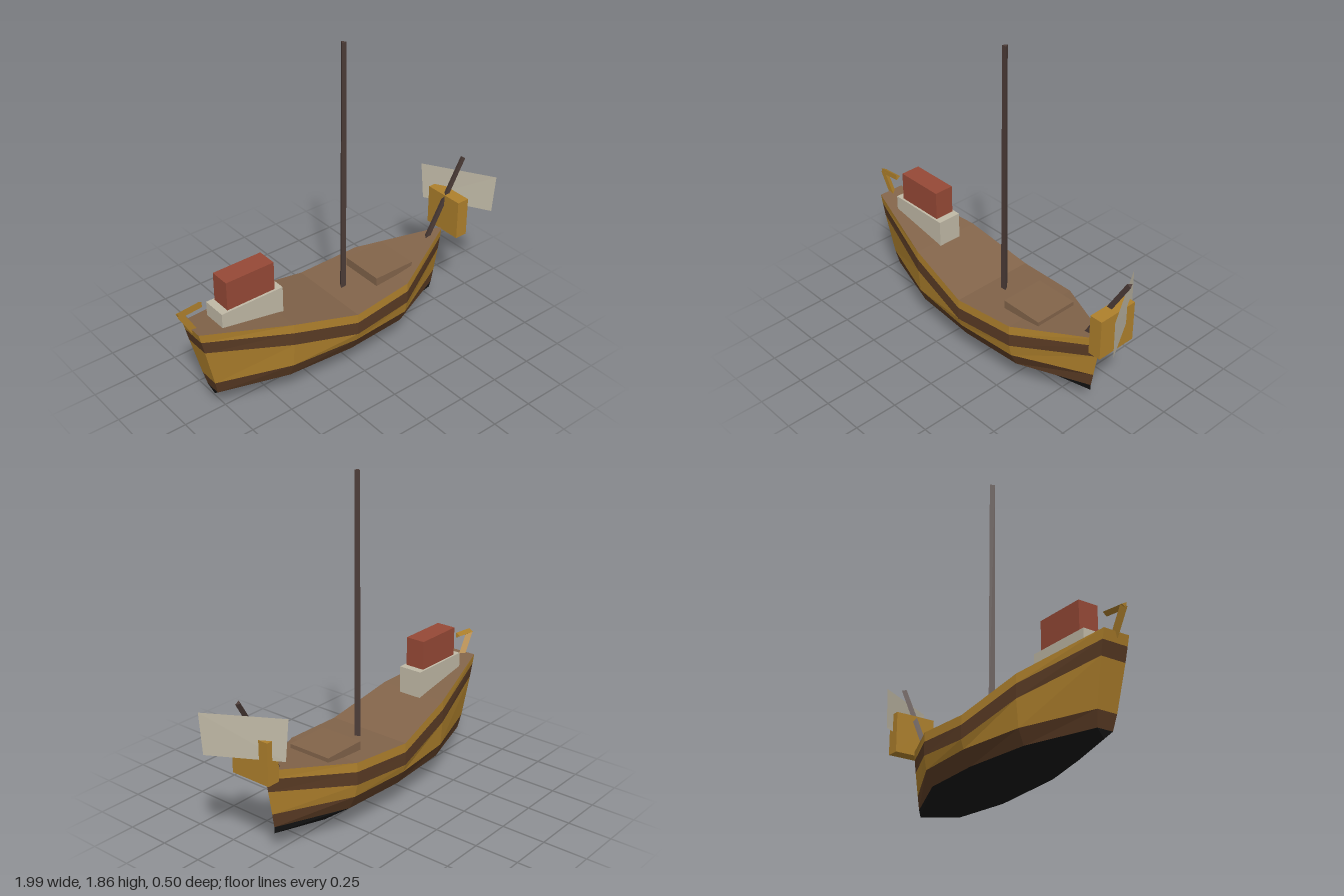
import * as THREE from 'three';

const mat = (name, color, extra = {}) => {
  const m = new THREE.MeshStandardMaterial({ color, flatShading: true, ...extra });
  m.name = name;
  return m;
};

// Hull stations from stern to bow: deck edge x, keel x, deck height, keel height, half widths per row
const stations = [
  { x: [-0.925, -0.81], top: 0.59, keel: 0.11, w: [0.075, 0.074, 0.072, 0.058, 0.045, 0] },
  { x: [-0.44, -0.44], top: 0.5, keel: 0.02, w: [0.205, 0.207, 0.207, 0.195, 0.165, 0] },
  { x: [-0.05, -0.05], top: 0.405, keel: 0, w: [0.248, 0.25, 0.25, 0.235, 0.195, 0] },
  { x: [0.32, 0.32], top: 0.43, keel: 0.02, w: [0.225, 0.227, 0.226, 0.21, 0.172, 0] },
  { x: [0.77, 0.7], top: 0.495, keel: 0.11, w: [0.008, 0.01, 0.01, 0.008, 0.006, 0] },
];

// Point on the hull at a station and row (row 0 is the deck edge, row 5 the keel)
function hullPoint(s, row, side) {
  const { x, top, keel, w } = stations[s];
  const y = [top, top - 0.052, top - 0.127, 0.23, 0.15, keel][row];
  const t = (y - keel) / (top - keel);
  return [x[1] + (x[0] - x[1]) * t, y, side * w[row]];
}

function quadMesh(name, quads, material) {
  const pos = [];
  for (const [a, b, c, d] of quads) pos.push(...a, ...b, ...c, ...a, ...c, ...d);
  const g = new THREE.BufferGeometry();
  g.setAttribute('position', new THREE.Float32BufferAttribute(pos, 3));
  g.computeVertexNormals();
  const m = new THREE.Mesh(g, material);
  m.name = name;
  return m;
}

// One coloured band: both sides plus its strip of the transom
function hullBand(name, r, material) {
  const quads = [];
  for (let s = 0; s < stations.length - 1; s++) {
    const left = [hullPoint(s, r + 1, 1), hullPoint(s + 1, r + 1, 1), hullPoint(s + 1, r, 1), hullPoint(s, r, 1)];
    const right = [hullPoint(s, r, -1), hullPoint(s + 1, r, -1), hullPoint(s + 1, r + 1, -1), hullPoint(s, r + 1, -1)];
    quads.push(left, right);
  }
  quads.push([hullPoint(0, r + 1, -1), hullPoint(0, r + 1, 1), hullPoint(0, r, 1), hullPoint(0, r, -1)]);
  return quadMesh(name, quads, material);
}

function box(name, [x0, x1], [y0, y1], [z0, z1], material) {
  const m = new THREE.Mesh(new THREE.BoxGeometry(x1 - x0, y1 - y0, z1 - z0), material);
  m.position.set((x0 + x1) / 2, (y0 + y1) / 2, (z0 + z1) / 2);
  m.name = name;
  return m;
}

// Three-sided spar between two points
function spar(name, from, to, r0, r1, material) {
  const a = new THREE.Vector3(...from), b = new THREE.Vector3(...to);
  const dir = b.clone().sub(a);
  const g = new THREE.CylinderGeometry(r1, r0, dir.length(), 3);
  g.rotateY(Math.PI);
  const m = new THREE.Mesh(g, material);
  m.position.copy(a).add(b).multiplyScalar(0.5);
  m.quaternion.setFromUnitVectors(new THREE.Vector3(0, 1, 0), dir.normalize());
  m.name = name;
  return m;
}

export function createModel() {
  const ochre = mat('ochre wood', 0xae802c);
  const brown = mat('brown stripe', 0x5a3b24);
  const black = mat('black bottom', 0x141414);
  const deckWood = mat('deck wood', 0x82644a);
  const grey = mat('pale grey', 0xc0b9a6);
  const flagGrey = mat('flag grey', 0xc0b9a6, { side: THREE.DoubleSide });
  const red = mat('red cabin', 0x964936);
  const dark = mat('dark spar', 0x4c3c38);
  const boat = new THREE.Group();
  boat.name = 'boat';

  // Hull bands from rail to keel
  boat.add(
    hullBand('rail', 0, ochre),
    hullBand('upperStripe', 1, brown),
    hullBand('planking', 2, ochre),
    hullBand('lowerStripe', 3, brown),
    hullBand('bottom', 4, black),
  );

  // Deck
  const deck = [];
  for (let s = 0; s < stations.length - 1; s++) {
    deck.push([hullPoint(s, 0, 1), hullPoint(s + 1, 0, 1), hullPoint(s + 1, 0, -1), hullPoint(s, 0, -1)]);
  }
  boat.add(quadMesh('deck', deck, deckWood));

  // Deck fittings
  boat.add(
    box('hatch', [0.18, 0.435], [0.41, 0.47], [-0.132, 0.128], deckWood),
    box('cabinBase', [-0.78, -0.405], [0.46, 0.645], [-0.072, 0.068], grey),
    box('cabin', [-0.737, -0.447], [0.64, 0.81], [-0.06, 0.055], red),
    box('bowBlock', [0.78, 0.855], [0.48, 0.712], [-0.12, 0.12], ochre),
  );

  // Mast, bowsprit and tiller
  boat.add(
    spar('mast', [0.045, 0.37, 0], [0.045, 1.855, 0], 0.02, 0.016, dark),
    spar('bowsprit', [0.585, 0.34, 0], [0.915, 0.908, 0], 0.018, 0.016, dark),
    spar('rudderStock', [-0.905, 0.57, 0], [-0.98, 0.7, 0], 0.02, 0.02, ochre),
    spar('tiller', [-0.99, 0.698, 0], [-0.855, 0.71, 0], 0.018, 0.018, ochre),
  );

  // Flat panel set diagonally across the bowsprit
  boat.add(quadMesh('bowPanel', [[
    [0.79, 0.608, -0.178], [0.99, 0.608, 0.178], [0.998, 0.832, 0.19], [0.778, 0.832, -0.19],
  ]], flagGrey));

  return boat;
}
